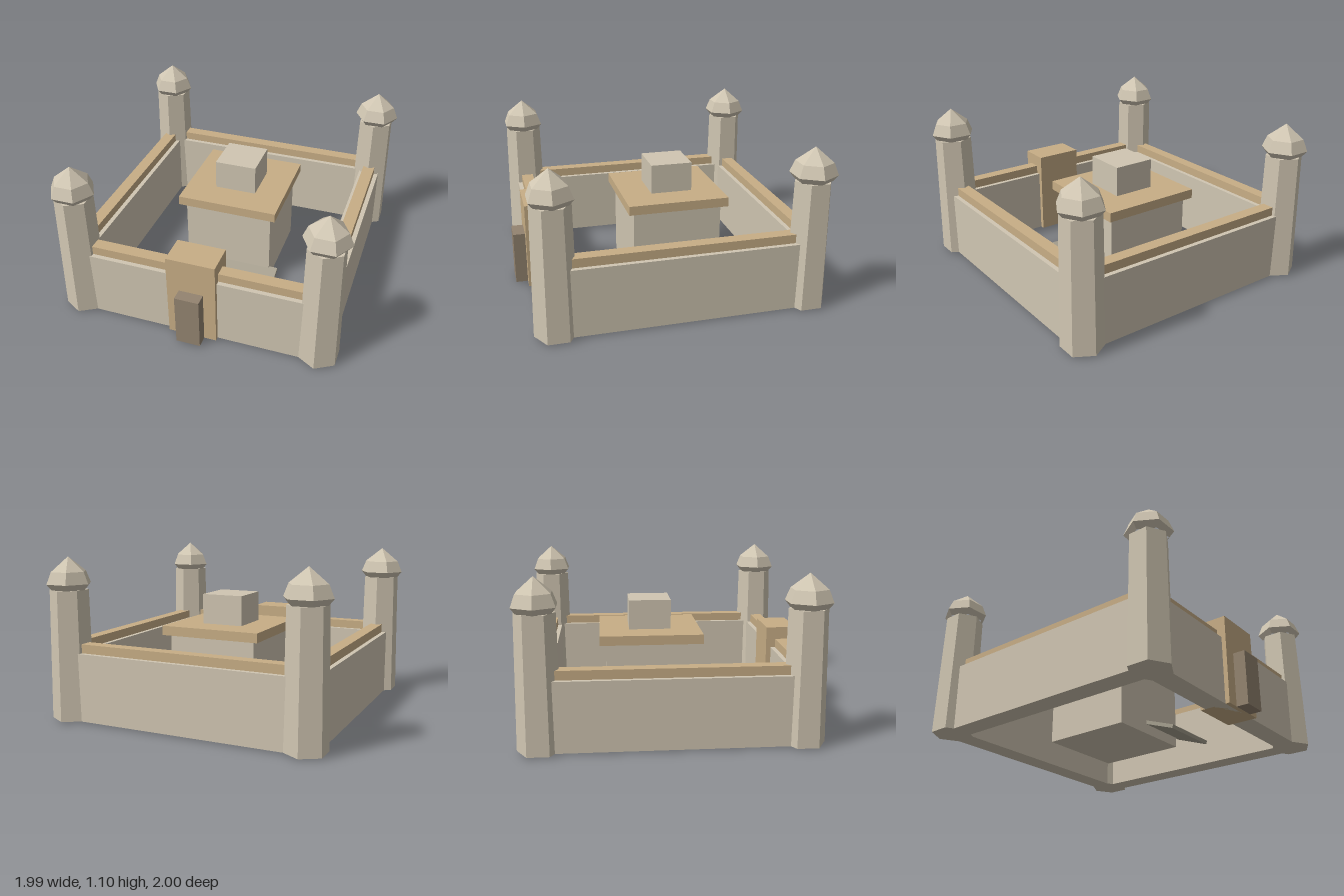
import * as THREE from 'three';

const paint = (name, color) => {
  const m = new THREE.MeshStandardMaterial({ color });
  m.name = name;
  return m;
};

// Split shared corners so every face is flat
const facet = (geometry) => {
  const g = geometry.toNonIndexed();
  g.computeVertexNormals();
  return g;
};

export function createModel() {
  const model = new THREE.Group();
  model.name = 'fortress';

  const stone = paint('pale stone', 0xd0c6b2);
  const sand = paint('sandstone', 0xc8ae86);
  const wood = paint('dark wood', 0x948470);
  const slab = paint('grey slab', 0xa69f8f);

  const add = (name, geometry, material, x = 0, y = 0, z = 0) => {
    const mesh = new THREE.Mesh(geometry, material);
    mesh.name = name;
    mesh.position.set(x, y, z);
    model.add(mesh);
    return mesh;
  };

  // Box given by its lower and upper limits on each axis
  const block = (name, material, [x0, x1], [y0, y1], [z0, z1]) =>
    add(name, new THREE.BoxGeometry(x1 - x0, y1 - y0, z1 - z0), material,
      (x0 + x1) / 2, (y0 + y1) / 2, (z0 + z1) / 2);

  const BASE = 0.01;
  const HALF = 0.8375; // courtyard centre to wall line
  const MID = -0.0225; // courtyard centre in z

  // Corner towers: tapered hexagonal shafts with faceted domes
  const shaft = facet(new THREE.CylinderGeometry(0.128, 0.141, 0.875, 6));
  const profile = [[0.122, 0.885], [0.155, 0.925], [0.122, 1.005], [0, 1.103]]
    .map(([r, y]) => new THREE.Vector2(r, y));
  const dome = facet(new THREE.LatheGeometry(profile, 6, Math.PI / 2));
  for (const sx of [-1, 1]) {
    for (const sz of [-1, 1]) {
      const x = sx * HALF, z = MID + sz * HALF;
      add('towerShaft', shaft, stone, x, BASE + 0.4375, z);
      add('towerDome', dome, stone, x, 0, z);
    }
  }

  // Walls between the tower centres, each with a narrower parapet
  const span = 2 * HALF;
  for (const s of [-1, 1]) {
    for (const [part, width, y0, y1, material] of [
      ['Wall', 0.147, BASE, 0.47, stone],
      ['Parapet', 0.085, 0.47, 0.53, sand],
    ]) {
      const y = (y0 + y1) / 2, h = y1 - y0;
      add('side' + part, new THREE.BoxGeometry(width, h, span), material, s * HALF, y, MID);
      add((s > 0 ? 'front' : 'back') + part, new THREE.BoxGeometry(span, h, width), material,
        0, y, MID + s * HALF);
    }
  }

  // Gatehouse and door
  block('gatehouse', sand, [-0.167, 0.167], [BASE, 0.615], [0.708, 0.918]);
  block('door', wood, [-0.083, 0.083], [BASE, 0.376], [0.85, 1.0]);

  // Keep in the courtyard
  block('keepBody', stone, [-0.312, 0.312], [BASE, 0.55], [-0.435, 0.19]);
  block('keepRoof', sand, [-0.355, 0.355], [0.55, 0.615], [-0.478, 0.232]);
  block('keepTurret', stone, [-0.147, 0.147], [0.615, 0.822], [-0.27, 0.024]);

  // Ramp leaning on the front of the keep
  const ramp = add('ramp', new THREE.BoxGeometry(0.415, 0.025, 0.25), slab, 0.165, 0.055, 0.29);
  ramp.rotation.x = 0.35;

  return model;
}
